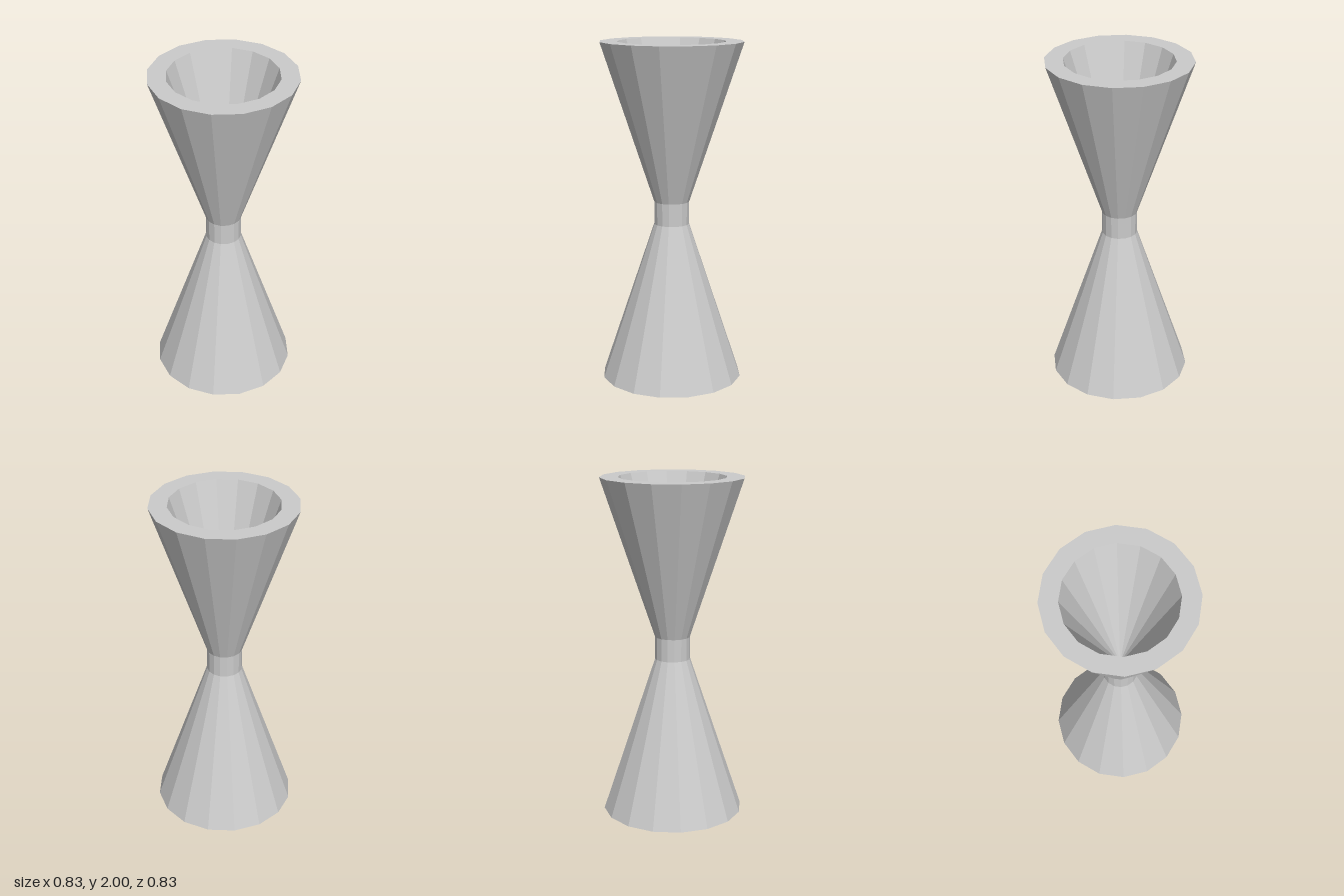
import * as THREE from 'three';

const SIDES = 16;
const RIM = 0.417;      // outer rim radius
const BORE = 0.313;     // inner rim radius
const WAIST = 0.104;    // waist radius
const HALF_WAIST = 0.067;

export function createModel() {
  const group = new THREE.Group();
  group.name = 'doubleCup';
  const material = new THREE.MeshStandardMaterial({ color: 0xcccccc, flatShading: true });

  // Hollow cone: outer wall, flat rim, then inner wall down to a point
  const cupGeometry = new THREE.LatheGeometry([
    new THREE.Vector2(WAIST, HALF_WAIST),
    new THREE.Vector2(RIM, 1),
    new THREE.Vector2(BORE, 1),
    new THREE.Vector2(0, HALF_WAIST),
  ], SIDES);

  // The two cups are the same shape, one turned upside down
  for (const [name, turn] of [['upperCup', 0], ['lowerCup', Math.PI]]) {
    const cup = new THREE.Mesh(cupGeometry, material);
    cup.name = name;
    cup.position.y = 1;
    cup.rotation.x = turn;
    group.add(cup);
  }

  // Short straight neck joining the cups
  const waist = new THREE.Mesh(
    new THREE.CylinderGeometry(WAIST, WAIST, 2 * HALF_WAIST, SIDES, 1, true), material);
  waist.name = 'waist';
  waist.position.y = 1;
  group.add(waist);

  return group;
}
